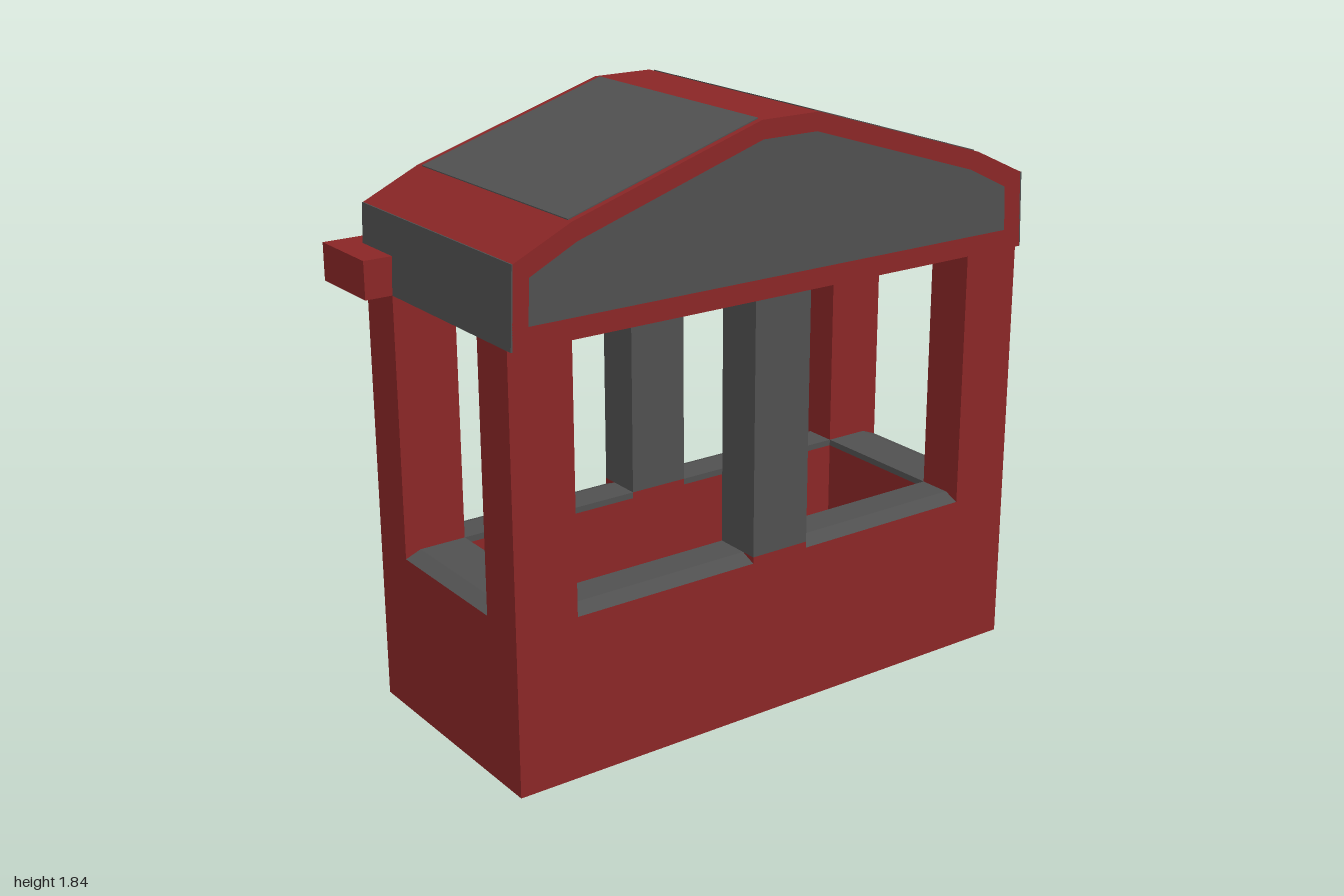
import * as THREE from 'three';

const red = new THREE.MeshStandardMaterial({ name: 'dark red', color: 0x8a2626 });
const grey = new THREE.MeshStandardMaterial({ name: 'charcoal grey', color: 0x505050 });

// Plan limits: outer wall and inner shaft
const X0 = -0.355, X1 = 0.43, Z = 0.915;
const IX0 = -0.2, IX1 = 0.275, IZ = 0.715;
const WALL = 0.505, SILL = 0.525, EAVE = 1.32;
const ROOF_X0 = -0.38, ROOF_X1 = 0.45;

export function createModel() {
  const model = new THREE.Group();
  model.name = 'kiosk';

  const add = (name, geometry, material, parent = model) => {
    const mesh = new THREE.Mesh(geometry, material);
    mesh.name = name;
    parent.add(mesh);
    return mesh;
  };
  const box = (name, material, x0, x1, y0, y1, z0, z1) =>
    add(name, new THREE.BoxGeometry(x1 - x0, y1 - y0, z1 - z0)
      .translate((x0 + x1) / 2, (y0 + y1) / 2, (z0 + z1) / 2), material);
  const toShape = (points, hole) => {
    const shape = new THREE.Shape(points.map(([u, v]) => new THREE.Vector2(u, v)));
    if (hole) shape.holes.push(new THREE.Path(hole.map(([u, v]) => new THREE.Vector2(u, v))));
    return shape;
  };
  const extrude = (points, depth, hole) =>
    new THREE.ExtrudeGeometry(toShape(points, hole), { depth, bevelEnabled: false });
  // Section given as (z, y), swept from x0 to x1
  const alongX = (points, x0, x1, hole) => {
    const flip = (list) => list && list.map(([z, y]) => [-z, y]);
    return extrude(flip(points), x1 - x0, flip(hole)).rotateY(Math.PI / 2).translate(x0, 0, 0);
  };
  // Section given as (x, y), swept from z0 to z1
  const alongZ = (points, z0, z1) => extrude(points, z1 - z0).translate(0, 0, z0);
  const rect = (u0, u1, v0, v1) => [[u0, v0], [u1, v0], [u1, v1], [u0, v1]];
  const mirrored = (half) => [...half, ...half.map(([z, y]) => [-z, y]).reverse()];

  // Hollow lower wall, open at the bottom
  add('lowerWall', extrude(rect(X0, X1, -Z, Z), WALL, rect(IX0, IX1, -IZ, IZ))
    .rotateX(-Math.PI / 2), red);

  // Corner posts
  for (const [a, b] of [[X0, IX0], [IX1, X1]]) {
    for (const [c, d] of [[-Z, -IZ], [IZ, Z]]) box('cornerPost', red, a, b, WALL, EAVE, c, d);
    // Middle post on its red foot
    box('middlePostFoot', red, a, b, WALL, SILL, -0.1, 0.1);
    box('middlePost', grey, a, b, SILL, EAVE, -0.1, 0.1);
  }

  // Window sills, bevelled towards the outside
  const sill = (outer, inner) => {
    const edge = outer + Math.sign(inner - outer) * 0.05;
    return [[outer, WALL], [inner, WALL], [inner, SILL], [edge, SILL]];
  };
  for (const s of [-1, 1]) {
    add('endSill', alongX(sill(s * Z, s * IZ), IX0, IX1), grey);
    const [z0, z1] = s > 0 ? [0.1, IZ] : [-IZ, -0.1];
    add('sideSill', alongZ(sill(X0, IX0), z0, z1), grey);
    add('sideSill', alongZ(sill(X1, IX1), z0, z1), grey);
  }

  // Roof: solid core with a raised frame around each recessed gable
  const roof = new THREE.Group();
  roof.name = 'roof';
  model.add(roof);
  const profile = mirrored([[0.911, EAVE], [0.901, 1.555], [0.72, 1.64], [0.1, 1.833]]);
  const gable = mirrored([[0.86, 1.375], [0.853, 1.512], [0.705, 1.585], [0.095, 1.778]]);
  const inset = 0.02;
  add('roofCore', alongX(profile, ROOF_X0 + inset, ROOF_X1 - inset), red, roof);
  add('gableFrame', alongX(profile, ROOF_X0, ROOF_X0 + inset, gable), red, roof);
  add('gableFrame', alongX(profile, ROOF_X1 - inset, ROOF_X1, gable), red, roof);
  add('gablePanel', alongX(gable, ROOF_X0 + inset - 0.004, ROOF_X0 + inset + 0.001), grey, roof);
  add('gablePanel', alongX(gable, ROOF_X1 - inset - 0.001, ROOF_X1 - inset + 0.004), grey, roof);

  // Thin grey plates on the slopes and eaves
  for (const s of [-1, 1]) {
    const slope = [[0.1, 1.832], [0.72, 1.639], [0.72, 1.643], [0.1, 1.836]];
    const eave = [[0.91, EAVE], [0.915, EAVE], [0.905, 1.555], [0.9, 1.555]];
    const side = (points) => points.map(([z, y]) => [s * z, y]);
    add('slopePanel', alongX(side(slope), X0, X1), grey, roof);
    add('eavePanel', alongX(side(eave), ROOF_X0, ROOF_X1), grey, roof);
  }

  // Shutter rail across one long side, with a grooved outer face
  const railX = -0.455, railTop = 1.435;
  box('shutterRail', red, railX + inset, IX0, EAVE, railTop, -1, 1);
  const groove = rect(-0.97, 0.97, EAVE + 0.03, railTop - 0.03);
  add('shutterRailFrame', alongX(rect(-1, 1, EAVE, railTop), railX, railX + inset, groove), red);
  add('shutterRailGroove', alongX(groove, railX + inset - 0.004, railX + inset + 0.001), grey);

  return model;
}
